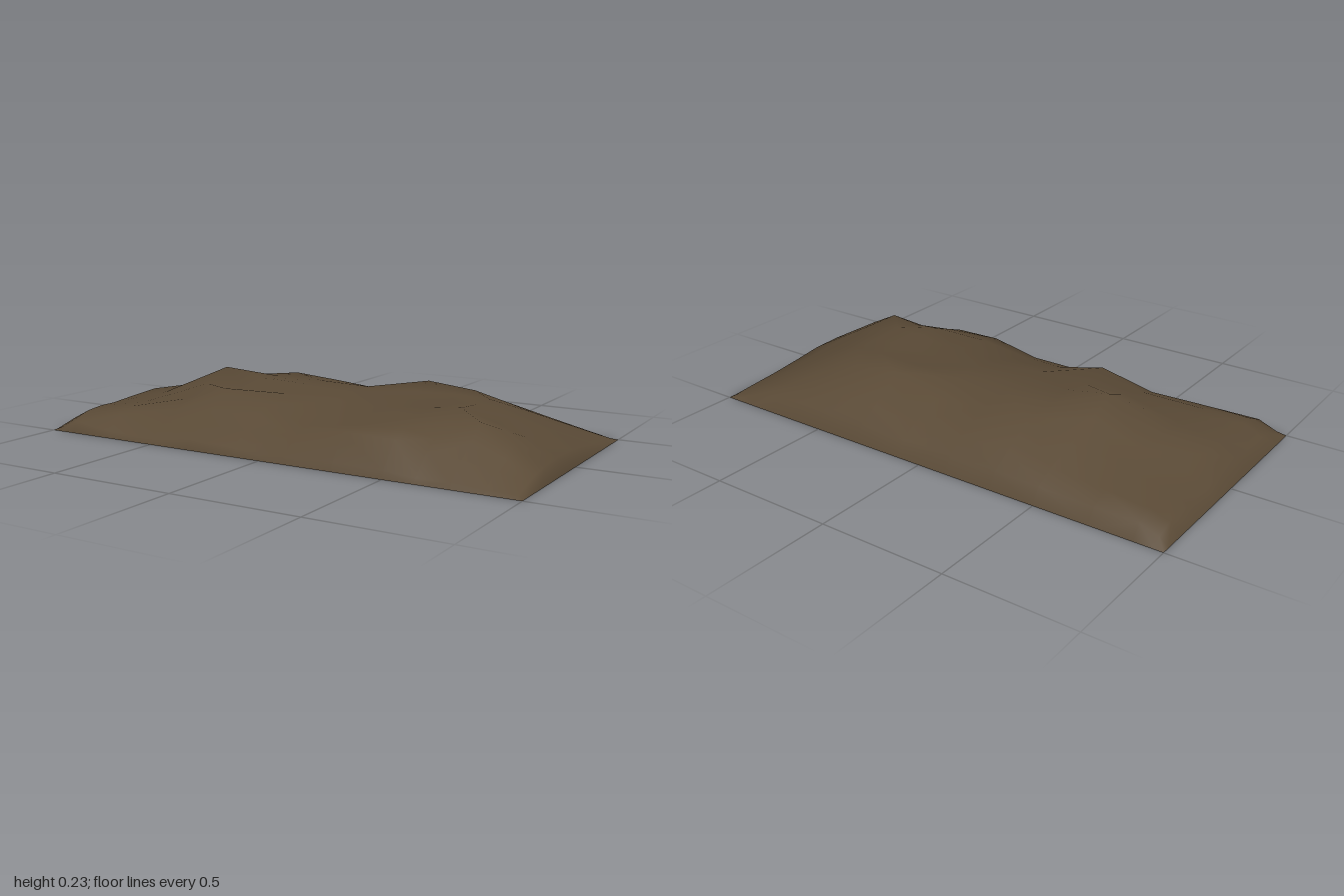
import * as THREE from 'three';

// Grid lines of the mound, closer together along the steep rim
const XS = [-1, -0.965, -0.89, -0.72, -0.5, -0.32, -0.12, 0.1, 0.3, 0.5, 0.62, 0.75, 0.87, 0.98, 1];
const ZS = [-0.5, -0.465, -0.39, -0.26, -0.12, 0, 0.13, 0.26, 0.34, 0.41, 0.485, 0.5];

// Heights in hundredths inside the rim, one row per z line from back to front
const HEIGHTS = [
  [3, 5.5, 5.5, 6, 6.5, 6, 6, 6.5, 6.8, 6.5, 5.5, 3.5, 1],
  [5, 7, 8.3, 9.5, 11, 11, 10, 11.2, 11, 10, 8.5, 5.5, 2],
  [4.5, 8, 10.5, 14, 18.5, 17, 15, 20.5, 18.5, 15.5, 12, 7.5, 3],
  [4.5, 8.5, 12, 18, 19, 19, 18.5, 18.5, 19, 18.5, 14, 9.5, 4.5],
  [5, 10.3, 13.5, 23, 20, 19.5, 18.5, 17.8, 18, 18.5, 15, 10.5, 6],
  [5.5, 9.5, 12.5, 18, 17.5, 17.5, 17, 16.5, 18.5, 19.5, 15.5, 11.5, 6.3],
  [5, 8.5, 10.5, 14, 19.7, 15, 13.5, 15, 17.5, 16.5, 18, 12, 5.5],
  [5, 8.5, 10, 11, 13, 12, 11, 13.5, 14.5, 12.5, 12.5, 9, 4.5],
  [4, 7.8, 8, 7, 8, 8, 8.5, 12.5, 12, 8.5, 8, 6, 3],
  [1.5, 4.5, 2.5, 2, 4, 3, 2.5, 3, 3, 2, 2, 1.5, 1],
];

export function createModel() {
  const group = new THREE.Group();
  group.name = 'dirtMound';
  const earth = new THREE.MeshStandardMaterial({ color: 0x5a4a36, side: THREE.DoubleSide });
  earth.name = 'brown earth';

  const nx = XS.length, nz = ZS.length;
  const height = (i, j) =>
    i === 0 || j === 0 || i === nx - 1 || j === nz - 1 ? 0 : HEIGHTS[j - 1][i - 1] / 100;

  // Surface points
  const positions = [];
  for (let j = 0; j < nz; j++) {
    for (let i = 0; i < nx; i++) positions.push(XS[i], height(i, j), ZS[j]);
  }

  // Two triangles per cell, split along the higher diagonal
  const index = [];
  for (let j = 0; j < nz - 1; j++) {
    for (let i = 0; i < nx - 1; i++) {
      const a = j * nx + i, b = a + 1, c = a + nx, d = c + 1;
      if (height(i, j) + height(i + 1, j + 1) > height(i + 1, j) + height(i, j + 1)) {
        index.push(a, c, d, a, d, b);
      } else {
        index.push(a, c, b, b, c, d);
      }
    }
  }

  const geometry = new THREE.BufferGeometry();
  geometry.setAttribute('position', new THREE.Float32BufferAttribute(positions, 3));
  geometry.setIndex(index);
  geometry.computeVertexNormals();

  const mound = new THREE.Mesh(geometry, earth);
  mound.name = 'moundSurface';
  group.add(mound);
  return group;
}
